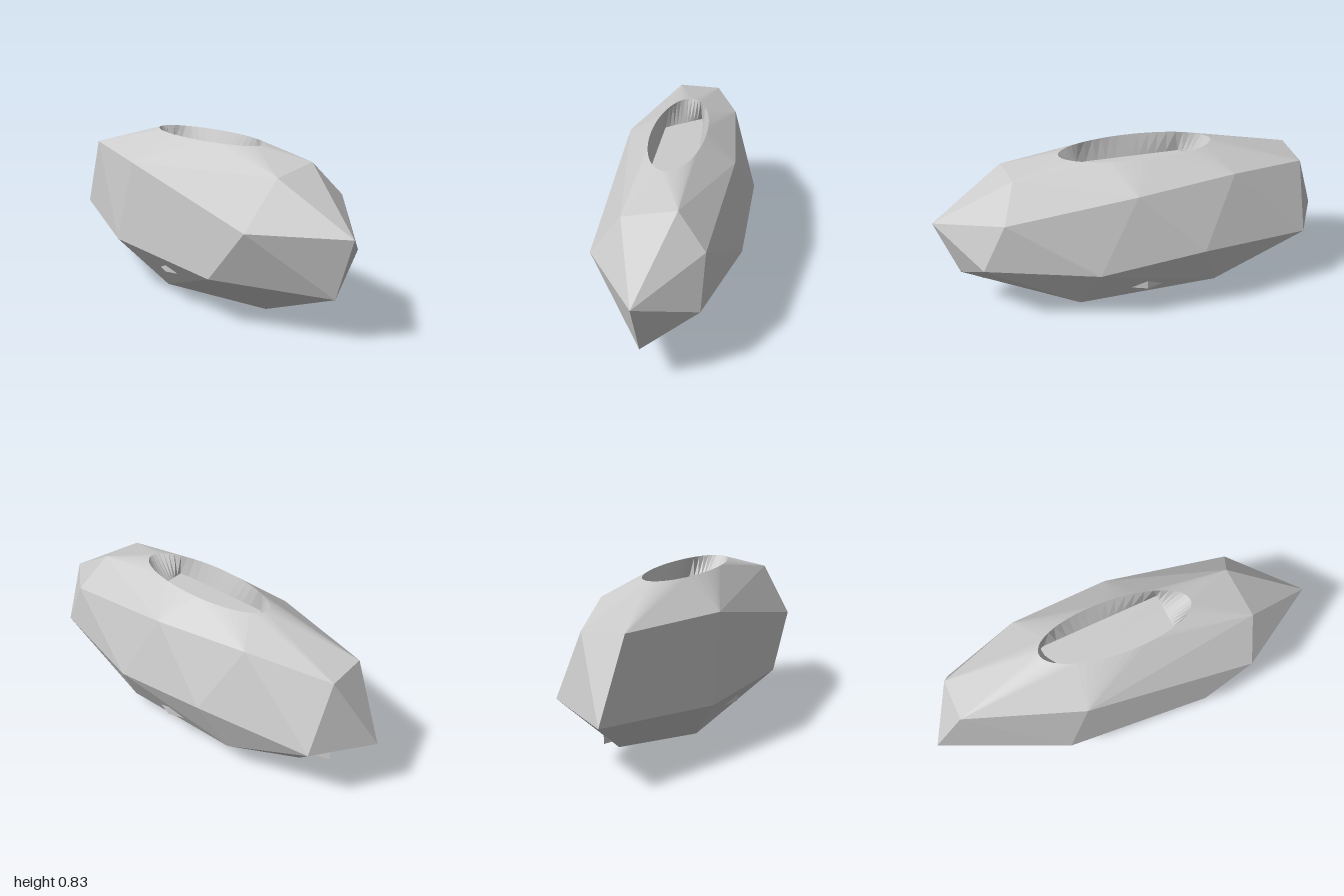
import * as THREE from 'three';
import { ConvexGeometry } from 'three/addons/geometries/ConvexGeometry.js';

const CX = -0.02, CZ = -0.01, TOP = 0.83, FLOOR = 0.72, SIDES = 48;
const grey = new THREE.MeshStandardMaterial({ color: 0xcccccc, flatShading: true, side: THREE.DoubleSide });

function part(name, geometry) {
  const mesh = new THREE.Mesh(geometry, grey);
  mesh.name = name;
  return mesh;
}

// Oval mouth of the stone
function rimPoint(i) {
  const a = (i / SIDES) * Math.PI * 2;
  return new THREE.Vector3(CX + 0.135 * Math.cos(a), TOP, CZ + 0.38 * Math.sin(a));
}

// Faceted stone: hull of the corner points and the rim, with the mouth left open
function stoneGeometry() {
  const corners = [
    // front end
    [-0.05, 0.515, 1], [-0.04, 0.215, 0.89], [0.215, 0.375, 0.785], [0.22, 0.615, 0.67],
    [0.085, 0.775, 0.605], [-0.165, 0.74, 0.64], [-0.325, 0.505, 0.6],
    // sides
    [-0.34, 0.24, 0.37], [-0.34, 0.27, -0.37], [-0.32, 0.69, -0.26],
    [0.335, 0.34, 0.24], [0.335, 0.405, -0.28], [0.265, 0.715, 0.04], [0.205, 0.745, -0.45],
    // underside
    [-0.04, 0.045, 0.44], [0.18, 0.085, 0.32], [0.02, 0, -0.06], [-0.16, 0.035, -0.18],
    [0.215, 0.145, -0.37], [0, 0.1, -0.65],
    // back end
    [0.205, 0.36, -0.84], [0.06, 0.69, -0.845], [-0.15, 0.7, -0.83], [-0.115, 0.325, -1],
  ].map((p) => new THREE.Vector3(...p));
  for (let i = 0; i < SIDES; i++) corners.push(rimPoint(i));
  const pos = new ConvexGeometry(corners).getAttribute('position');
  const kept = [];
  for (let i = 0; i < pos.count; i += 3) {
    const tri = [0, 1, 2].map((k) => new THREE.Vector3().fromBufferAttribute(pos, i + k));
    if (tri.every((v) => v.y > TOP - 0.001)) continue;
    tri.forEach((v) => kept.push(v.x, v.y, v.z));
  }
  const geo = new THREE.BufferGeometry();
  geo.setAttribute('position', new THREE.Float32BufferAttribute(kept, 3));
  geo.computeVertexNormals();
  return geo;
}

// Where a ray from the mouth centre at angle a meets the four-sided floor
function floorPoint(rim) {
  const quad = [[0.1, 0.25], [-0.125, 0.27], [-0.135, -0.26], [0.045, -0.395]];
  const dx = rim.x - CX, dz = rim.z - CZ;
  let best = Infinity;
  quad.forEach(([ax, az], i) => {
    const [bx, bz] = quad[(i + 1) % 4];
    const nx = bz - az, nz = ax - bx;
    const d = nx * dx + nz * dz;
    const t = (nx * (ax - CX) + nz * (az - CZ)) / d;
    if (t > 0) best = Math.min(best, t);
  });
  return new THREE.Vector3(CX + dx * best, FLOOR, CZ + dz * best);
}

// Shallow hollow: walls from the rim to the floor, then the floor as a fan
function hollowGeometry() {
  const v = [];
  const centre = new THREE.Vector3(CX, FLOOR, CZ);
  for (let i = 0; i < SIDES; i++) {
    const a = rimPoint(i), b = rimPoint(i + 1);
    const c = floorPoint(a), d = floorPoint(b);
    for (const p of [a, b, c, b, d, c, c, d, centre]) v.push(p.x, p.y, p.z);
  }
  const geo = new THREE.BufferGeometry();
  geo.setAttribute('position', new THREE.Float32BufferAttribute(v, 3));
  geo.computeVertexNormals();
  return geo;
}

export function createModel() {
  const group = new THREE.Group();
  group.name = 'hollowStone';
  group.add(part('stoneBody', stoneGeometry()));
  group.add(part('topHollow', hollowGeometry()));

  // Four-sided core whose lower corners just break the surface
  const core = part('innerCore', new THREE.CylinderGeometry(1, 1, 0.3, 4));
  core.scale.set(0.282, 1, 0.8);
  core.position.set(CX, 0.325, CZ);
  group.add(core);
  return group;
}
